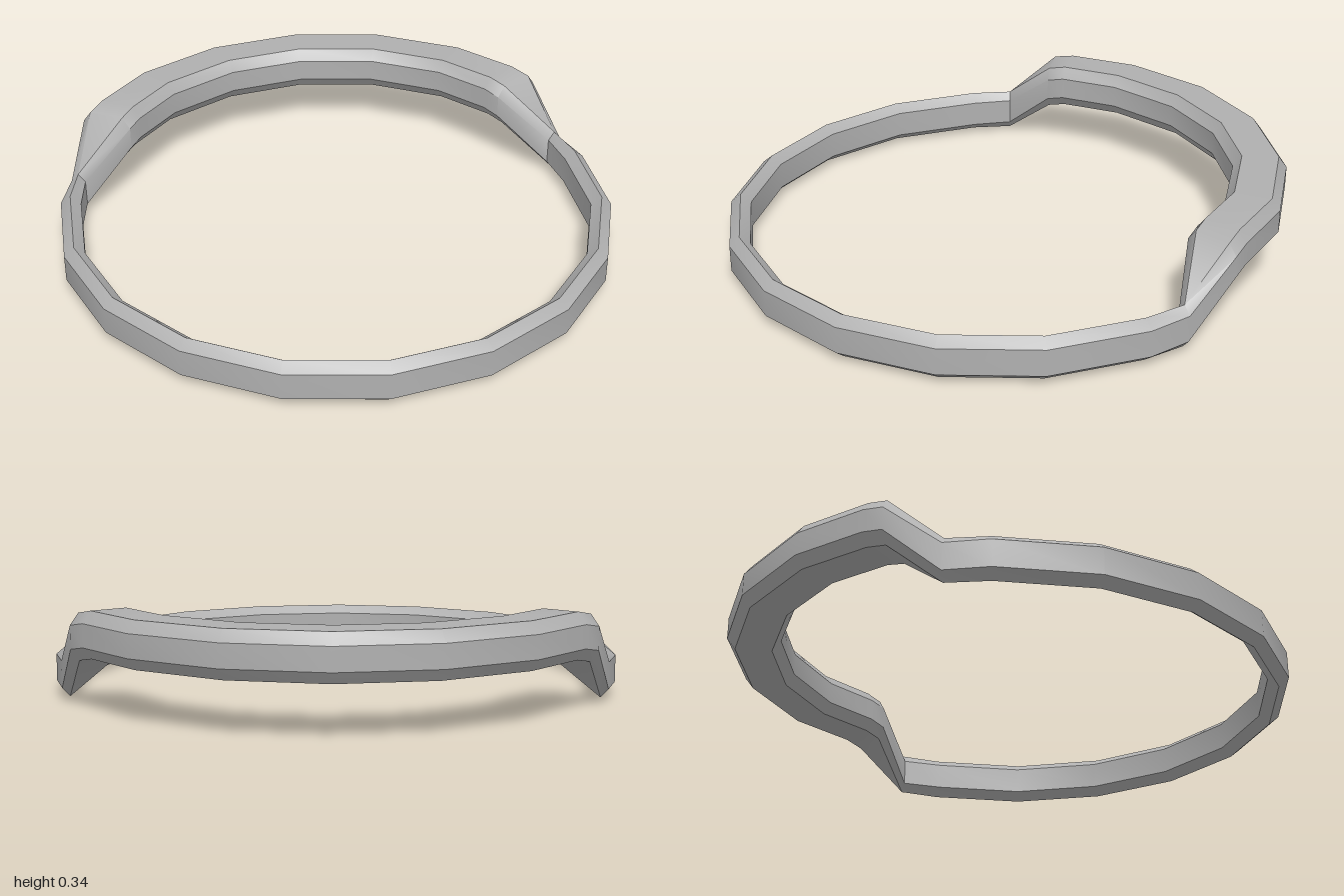
import * as THREE from 'three';
import { toCreasedNormals } from 'three/addons/utils/BufferGeometryUtils.js';

const BACK_LEVELS = [0.19, 0.23, 0.31, 0.35];
const THIN_LEVELS = [0.005, 0.035, 0.13, 0.16];

// Eight-sided section at an angle measured from the back (-z) towards +x.
// radii: outer wall, outer crown, inner crown, inner wall
function section(deg, radii, levels, lift = 0) {
  const a = THREE.MathUtils.degToRad(deg);
  const [ro, rco, rci, ri] = radii;
  const [y0, y1, y2, y3] = levels.map((y) => y + lift);
  return [[ro, y1], [ro, y2], [rco, y3], [rci, y3], [ri, y2], [ri, y1], [rci, y0], [rco, y0]]
    .map(([r, y]) => new THREE.Vector3(r * Math.sin(a), y, -r * Math.cos(a)));
}

// The thin rim tilts up slightly towards the back; its crown is a ridge
function thin(deg, radii = [0.993, 0.957, 0.957, 0.92]) {
  const z = -Math.cos(THREE.MathUtils.degToRad(deg));
  return section(deg, radii, THIN_LEVELS, 0.0115 * (1 - z));
}

function wide(deg, scale = 1, lift = 0) {
  return section(deg, [1, 0.97, 0.84, 0.81].map((r) => r * scale), BACK_LEVELS, lift);
}

// Skin a closed loop of sections, leaving out collapsed triangles
function loft(sections) {
  const pos = [];
  const tri = (a, b, c) => {
    if (new THREE.Triangle(a, b, c).getArea() > 1e-7) {
      for (const p of [a, b, c]) pos.push(p.x, p.y, p.z);
    }
  };
  sections.forEach((s, i) => {
    const t = sections[(i + 1) % sections.length];
    s.forEach((p, j) => {
      const k = (j + 1) % s.length;
      tri(p, s[k], t[k]);
      tri(p, t[k], t[j]);
    });
  });
  const geometry = new THREE.BufferGeometry();
  geometry.setAttribute('position', new THREE.Float32BufferAttribute(pos, 3));
  return toCreasedNormals(geometry, THREE.MathUtils.degToRad(35));
}

export function createModel() {
  const group = new THREE.Group();
  group.name = 'steppedRing';
  const grey = new THREE.MeshStandardMaterial({ color: 0xb0b0b0 });
  grey.name = 'grey';

  // Half of the ring from back to front: raised wide part, step, thin rim
  const half = [
    wide(0), wide(20), wide(40), wide(55.5, 0.992), wide(60, 1.003, -0.015),
    thin(71, [0.987, 0.96, 0.96, 0.935]),
    ...[80, 100, 120, 140, 160, 180].map((d) => thin(d)),
  ];
  // Mirror the other half, sharing the back and front sections
  const mirrored = half.slice(1, -1).reverse()
    .map((s) => s.map((p) => new THREE.Vector3(-p.x, p.y, p.z)));

  const ring = new THREE.Mesh(loft([...half, ...mirrored]), grey);
  ring.name = 'ring';
  group.add(ring);
  return group;
}
